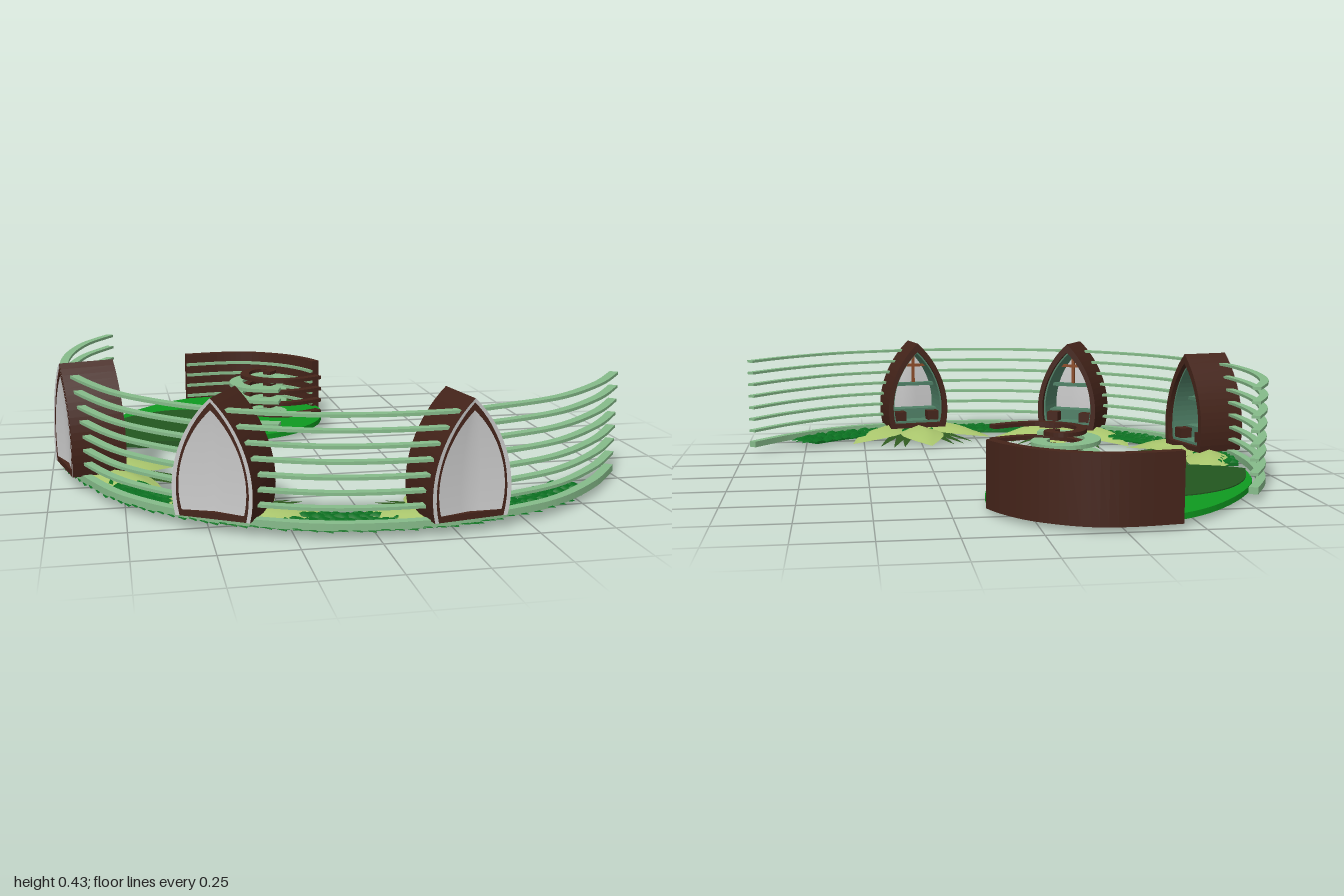
import * as THREE from 'three';
import { mergeGeometries } from 'three/addons/utils/BufferGeometryUtils.js';

const mat = (color) => new THREE.MeshStandardMaterial({ color, side: THREE.DoubleSide });
const BROWN = mat(0x45241a), RAIL = mat(0x86bb8a), PETAL = mat(0xa9c56c), SPIKE = mat(0x2f5a20);
const LEAF = mat(0x0f9a20), DARK = mat(0x22571f), VINE = mat(0x0a7020), TEAL = mat(0x4f8066);
const WOOD = mat(0x8a4a25), SHELL = mat(0xcccccc);

function add(parent, name, geometry, material) {
  const m = new THREE.Mesh(geometry, material);
  m.name = name;
  parent.add(m);
  return m;
}

const v2 = (pts) => pts.map(([x, z]) => new THREE.Vector2(x, z));
const spline = (pts, n) => new THREE.SplineCurve(v2(pts)).getPoints(n);

// Slab with an x/z outline between y0 and y0 + h
function slab(outline, y0, h) {
  const g = new THREE.ExtrudeGeometry(new THREE.Shape(outline), { depth: h, bevelEnabled: false });
  return g.rotateX(Math.PI / 2).translate(0, y0 + h, 0);
}

// Unit normal of a sampled x/z path at point i
function normalAt(path, i) {
  const a = path[Math.max(i - 1, 0)], b = path[Math.min(i + 1, path.length - 1)];
  const t = b.clone().sub(a).normalize();
  return new THREE.Vector2(t.y, -t.x);
}

// Flat ribbon following an x/z path
function ribbon(path, width, y0, h) {
  const side = (s) => path.map((p, i) => p.clone().addScaledVector(normalAt(path, i), s * width / 2));
  return slab([...side(1), ...side(-1).reverse()], y0, h);
}

// Pointed leaf along +z with a raised midrib and drooping tip
function leaf(length, width, ridge, droop, nx = 4, nz = 8) {
  const g = new THREE.PlaneGeometry(1, 1, nx, nz);
  const p = g.attributes.position;
  for (let i = 0; i < p.count; i++) {
    const u = p.getX(i) * 2, t = p.getY(i) + 0.5;
    const w = Math.sin(Math.PI * Math.pow(t, 0.85)) * width / 2;
    const lift = ridge * (1 - Math.abs(u)) * Math.sin(Math.PI * Math.min(1, t + 0.1));
    p.setXYZ(i, -u * w, lift - droop * t * t, t * length);
  }
  g.computeVertexNormals();
  return g;
}

// Pointed arch: right-hand edge of the pod profile
const edge = new THREE.CubicBezierCurve(...v2([[0.125, 0], [0.16, 0.14], [0.1, 0.29], [0, 0.38]]));
const edgePts = edge.getPoints(16);
function archPoints(sx, sy, dy) {
  const right = edgePts.map((p) => new THREE.Vector2(p.x * sx, p.y * sy + dy));
  const left = right.slice(0, -1).reverse().map((p) => new THREE.Vector2(-p.x, p.y));
  return [...right, ...left];
}
function halfWidth(y) {
  const p = edgePts.find((q) => q.y >= y);
  return p ? p.x : 0;
}

function archTube(outer, inner, depth) {
  const s = new THREE.Shape(archPoints(...outer));
  s.holes.push(new THREE.Path(archPoints(...inner)));
  return new THREE.ExtrudeGeometry(s, { depth, bevelEnabled: false }).translate(0, 0, -depth / 2);
}

const POD_Y = 0.052;
const PODS = [
  { x: -0.86, z: 0.136, f: [0.967, -0.25] },
  { x: -0.445, z: 0.73, f: [0.5, -0.86] },
  { x: 0.27, z: 0.873, f: [-0.17, -0.985] },
];

function makePod() {
  const pod = new THREE.Group();
  add(pod, 'podRoof', archTube([1, 1, 0], [0.84, 0.85, 0.02], 0.19), BROWN);
  add(pod, 'podLining', archTube([0.845, 0.855, 0.018], [0.78, 0.8, 0.03], 0.15), TEAL);

  // Hollowed pale shell closing the outer end
  const g = new THREE.PlaneGeometry(2, 1, 8, 14);
  const p = g.attributes.position;
  for (let i = 0; i < p.count; i++) {
    const u = p.getX(i), e = edge.getPoint(p.getY(i) + 0.5);
    p.setXYZ(i, u * e.x, e.y, -0.097 + 0.02 * (1 - Math.abs(u)) * (e.x / 0.135));
  }
  g.computeVertexNormals();
  add(pod, 'outerShell', g, SHELL);

  // Window bars, sill and bench
  const box = (name, w, h, d, x, y, z, m) =>
    add(pod, name, new THREE.BoxGeometry(w, h, d).translate(x, y, z), m);
  box('mullion', 0.012, 0.16, 0.012, 0, 0.265, 0.0, WOOD);
  box('crossBar', 0.14, 0.012, 0.012, 0, 0.275, 0.0, WOOD);
  box('sill', 0.2, 0.014, 0.03, 0, 0.19, 0.0, TEAL);
  box('bench', 0.21, 0.045, 0.07, 0, 0.055, -0.02, TEAL);
  for (const s of [-1, 1]) box('benchSupport', 0.05, 0.05, 0.05, s * 0.075, 0.045, 0.045, BROWN);

  // Petals and spiky leaves spreading inwards below the pod
  const spread = (name, geo, tipX, tipZ, baseZ, y, m) => {
    const leafMesh = add(pod, name, geo, m);
    leafMesh.position.set(tipX * 0.12, y, baseZ);
    leafMesh.rotation.y = Math.atan2(tipX * 0.88, tipZ - baseZ);
  };
  spread('petal', leaf(0.32, 0.19, 0.03, 0.03), 0, 0.34, 0.02, -0.012, PETAL);
  for (const s of [-1, 1]) {
    spread('petal', leaf(0.335, 0.18, 0.03, 0.03), s * 0.32, 0.185, -0.01, -0.014, PETAL);
    for (const [x, z] of [[0.11, 0.3], [0.155, 0.295], [0.2, 0.25]])
      spread('spikyLeaf', leaf(Math.hypot(x, z), 0.045, 0.01, 0.03, 2, 5), s * x, z, 0, -0.018, SPIKE);
  }
  return pod;
}

export function createModel() {
  const model = new THREE.Group();
  model.name = 'leafyEnclosure';

  // Fence path sweeping around the open side
  const fence = spline([[-0.77, -0.67], [-0.87, -0.48], [-0.93, -0.23], [-0.94, 0.03], [-0.895, 0.21],
    [-0.79, 0.45], [-0.68, 0.6], [-0.53, 0.74], [-0.39, 0.825], [-0.18, 0.912], [0.03, 0.945],
    [0.24, 0.942], [0.36, 0.915], [0.61, 0.825], [0.82, 0.66], [0.965, 0.49]], 150);

  // Thin rails, interrupted where they meet the pods
  for (let k = 0; k < 7; k++) {
    const y = 0.1 + k * 0.0483, w = halfWidth(y - POD_Y) - 0.012;
    let run = [];
    const flush = () => {
      if (run.length > 1) add(model, 'fenceRail', ribbon(run, 0.03, y - 0.005, 0.01), RAIL);
      run = [];
    };
    for (const p of fence) {
      const inside = PODS.some((d) =>
        Math.abs((p.x - d.x) * d.f[1] - (p.y - d.z) * d.f[0]) < w && Math.hypot(p.x - d.x, p.y - d.z) < 0.25);
      if (inside) flush(); else run.push(p);
    }
    flush();
  }
  add(model, 'fenceBase', ribbon(fence, 0.032, 0.032, 0.024), RAIL);

  // Vine band of overlapping small leaves just inside the fence
  const first = 24, last = 138;
  const centre = [], scales = [];
  for (let i = first; i <= last; i++) {
    const n = normalAt(fence, i), mid = fence[i].clone().addScaledVector(n, 0.07);
    centre.push(mid);
    const taper = Math.min(1, (i - first + 3) / 8, (last - i + 3) / 8);
    for (let j = -1; j <= 1; j++) {
      const q = mid.clone().addScaledVector(n, j * 0.045 * taper);
      scales.push(leaf(0.065, 0.045, 0.012, 0.012, 2, 3).rotateX(-0.15)
        .rotateY(Math.atan2(-n.y, n.x) + j * 0.5 + (i % 2 ? 0.3 : -0.3))
        .translate(q.x, 0.03 + (i % 3) * 0.002, q.y));
    }
  }
  add(model, 'vineBand', ribbon(centre, 0.1, 0.018, 0.012), VINE);
  add(model, 'vineLeaves', mergeGeometries(scales), VINE);

  // Pods with their petals
  PODS.forEach(({ x, z, f }) => {
    const pod = makePod();
    pod.name = 'pod';
    pod.position.set(x, POD_Y, z);
    pod.rotation.y = Math.atan2(f[0], f[1]);
    model.add(pod);
  });

  // Large leaf platform with a darker overlapping leaf
  const platform = [[-0.88, -0.3], [-0.83, -0.5], [-0.71, -0.7], [-0.55, -0.87], [-0.39, -0.96],
    [-0.235, -0.985], [-0.05, -0.925], [0.08, -0.79], [0.13, -0.635], [0.08, -0.42], [-0.05, -0.28],
    [-0.235, -0.2], [-0.445, -0.17], [-0.66, -0.195], [-0.815, -0.25], [-0.88, -0.3]];
  add(model, 'leafPlatform', slab(spline(platform, 75), 0.022, 0.02), LEAF);
  const shade = [[-0.88, -0.3], [-0.81, -0.48], [-0.7, -0.62], [-0.55, -0.7], [-0.42, -0.7], [-0.3, -0.65],
    [-0.23, -0.54], [-0.22, -0.38], [-0.27, -0.2], [-0.445, -0.168], [-0.66, -0.193], [-0.815, -0.248], [-0.88, -0.3]];
  add(model, 'darkLeaf', slab(spline(shade, 60), 0.019, 0.027), DARK);

  // Curved back wall with rails on its inner face
  const wall = spline([[-0.43, -0.965], [-0.26, -0.983], [-0.13, -0.962], [0, -0.88], [0.08, -0.78], [0.122, -0.69]], 24);
  add(model, 'backWall', ribbon(wall, 0.035, 0.02, 0.225), BROWN);
  const inner = wall.map((p, i) => p.clone().addScaledVector(normalAt(wall, i), -0.022));
  for (let k = 0; k < 4; k++) add(model, 'wallRail', ribbon(inner, 0.015, 0.05 + k * 0.048, 0.012), RAIL);

  // Stacked spiral ribbons
  const pale = spline([[-0.085, -0.475], [-0.06, -0.545], [-0.09, -0.605], [-0.165, -0.615], [-0.235, -0.555],
    [-0.258, -0.46], [-0.215, -0.365], [-0.1, -0.315]], 36);
  const dark = spline([[-0.125, -0.505], [-0.095, -0.545], [-0.135, -0.583], [-0.195, -0.55], [-0.222, -0.46],
    [-0.185, -0.385], [-0.1, -0.335], [-0.01, -0.345], [0.075, -0.385]], 40);
  for (let k = 0; k < 4; k++) {
    add(model, 'paleSpiral', ribbon(pale, 0.055, 0.05 + k * 0.048, 0.014), RAIL);
    add(model, 'brownSpiral', ribbon(dark, 0.036, 0.085 + k * 0.048, 0.014), BROWN);
  }
  return model;
}
